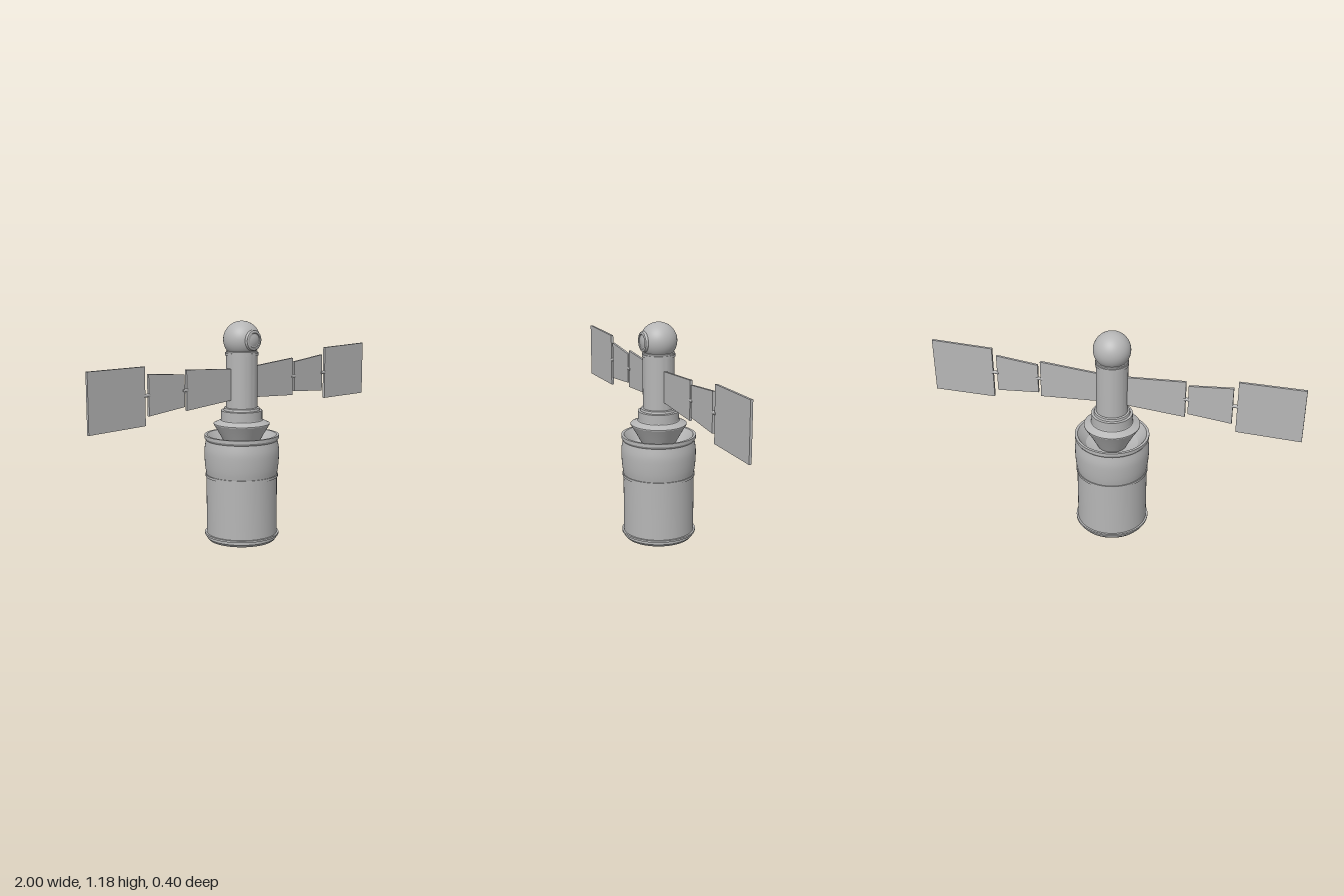
import * as THREE from 'three';
import { toCreasedNormals } from 'three/addons/utils/BufferGeometryUtils.js';

export function createModel() {
  const model = new THREE.Group();
  model.name = 'satellite';
  const grey = new THREE.MeshStandardMaterial({ color: 0xb6b6b6 });
  grey.name = 'grey metal';

  const add = (name, geometry, parent = model) => {
    const mesh = new THREE.Mesh(geometry, grey);
    mesh.name = name;
    parent.add(mesh);
    return mesh;
  };
  // Turned part from [radius, height] pairs, listed bottom to top
  const turned = (pairs, segments = 64) => toCreasedNormals(
    new THREE.LatheGeometry(pairs.map(([r, y]) => new THREE.Vector2(r, y)), segments), 0.45);

  // Swelling wall of the upper body
  const bulge = new THREE.SplineCurve([
    [0.19, 0.363], [0.196, 0.4], [0.2, 0.45], [0.2, 0.5], [0.192, 0.548],
  ].map(([r, y]) => new THREE.Vector2(r, y))).getPoints(14).map((p) => [p.x, p.y]);

  // Main barrel with base ring, middle ring, bulge and hollow flared rim
  add('body', turned([
    [0, 0], [0.178, 0], [0.19, 0.014], [0.19, 0.03], [0.2, 0.03], [0.2, 0.04], [0.19, 0.04],
    [0.19, 0.35], [0.195, 0.35], [0.195, 0.363], ...bulge,
    [0.2, 0.56], [0.2, 0.577], [0.186, 0.577], [0.166, 0.55], [0.14, 0.52], [0.1, 0.505], [0, 0.505],
  ]));

  // Inverted cone, shoulder and step below the column
  add('collar', turned([
    [0.075, 0.5], [0.118, 0.58], [0.15, 0.633], [0.15, 0.638], [0.112, 0.656],
    [0.11, 0.66], [0.11, 0.708], [0.097, 0.71], [0.094, 0.722], [0.08, 0.726],
  ]));

  // Column with its top ring
  add('column', turned([
    [0.084, 0.71], [0.084, 1.002], [0.088, 1.002], [0.088, 1.016],
    [0.084, 1.016], [0.084, 1.024], [0.07, 1.028],
  ]));

  // Head and forward-facing lens
  add('head', new THREE.SphereGeometry(0.098, 48, 32)).position.y = 1.085;
  const lens = add('lens', turned([
    [0.055, 0.07], [0.055, 0.088], [0.052, 0.094], [0.046, 0.097],
    [0.04, 0.097], [0.037, 0.093], [0, 0.093],
  ], 40));
  lens.rotation.x = Math.PI / 2;
  lens.position.y = 1.085;

  // Wing panels: [inner x, outer x, inner low, inner high, outer low, outer high]
  const panels = [
    ['innerPanel', 0.07, 0.392, 0.77, 0.935, 0.749, 0.957],
    ['middlePanel', 0.406, 0.637, 0.77, 0.935, 0.749, 0.957],
    ['outerPanel', 0.66, 1, 0.704, 0.996, 0.7, 1.0],
  ];
  const depth = 0.013;
  for (const side of [1, -1]) {
    const wing = new THREE.Group();
    wing.name = side > 0 ? 'leftWing' : 'rightWing';
    for (const [name, x0, x1, low0, high0, low1, high1] of panels) {
      const shape = new THREE.Shape([[x0, low0], [x1, low1], [x1, high1], [x0, high0]]
        .map(([x, y]) => new THREE.Vector2(x, y)));
      const plate = new THREE.ExtrudeGeometry(shape, { depth, bevelEnabled: false });
      add(name, plate.translate(0, 0, -depth / 2), wing);
    }
    // Short rods joining the panels
    for (const x of [0.399, 0.6485]) {
      const rod = new THREE.CylinderGeometry(0.009, 0.009, 0.036, 16).rotateZ(Math.PI / 2);
      add('panelJoint', rod, wing).position.set(x, 0.853, 0);
    }
    wing.rotation.y = side > 0 ? 0 : Math.PI;
    model.add(wing);
  }
  return model;
}
